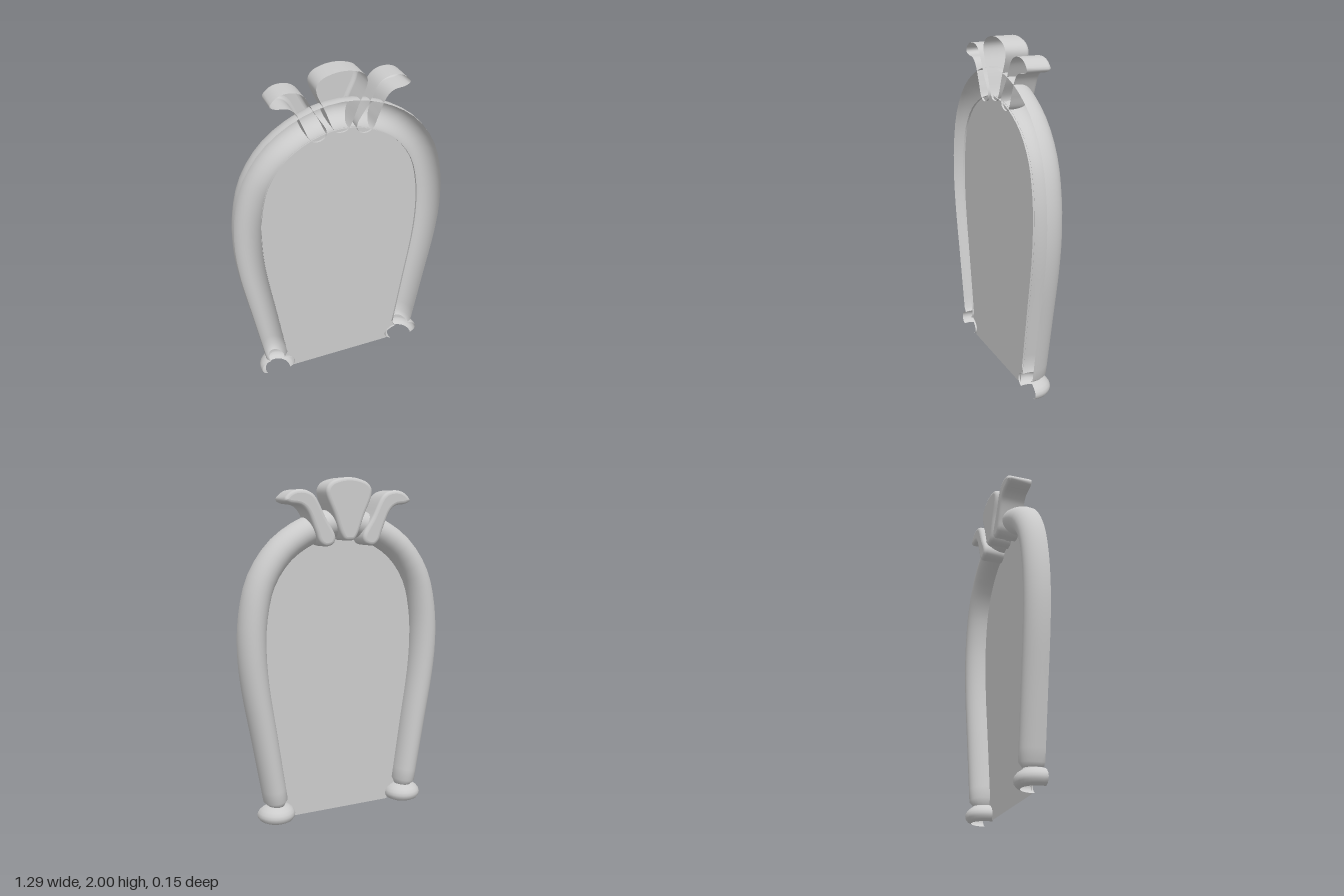
import * as THREE from 'three';

const FRONT = 0.073; // plane where the hollow shells are cut open
const AXIS_Z = 0.05; // depth of the tube axis
const material = new THREE.MeshStandardMaterial({ color: 0xcccccc, side: THREE.DoubleSide });

function addMesh(group, name, geometry) {
  const mesh = new THREE.Mesh(geometry, material);
  mesh.name = name;
  group.add(mesh);
}

// Skin a list of rings that all have the same number of [x, y, z] points
function skin(rings, closed = false) {
  const m = rings[0].length;
  const index = [];
  for (let i = 0; i < rings.length - 1; i++) {
    for (let j = 0; j < (closed ? m : m - 1); j++) {
      const k = (j + 1) % m;
      const a = i * m + j, b = a + m, c = i * m + k, d = c + m;
      index.push(a, b, c, b, d, c);
    }
  }
  const g = new THREE.BufferGeometry();
  g.setAttribute('position', new THREE.Float32BufferAttribute(rings.flat(2), 3));
  g.setIndex(index);
  g.computeVertexNormals();
  return g;
}

// Open C-shaped section: n is the outward direction in the xy plane
function section(x, y, nx, ny, halfWidth, depth, steps = 18) {
  const over = Math.asin((FRONT - AXIS_Z) / depth);
  const ring = [];
  for (let j = 0; j <= steps; j++) {
    const t = -over + (Math.PI + 2 * over) * j / steps;
    const r = halfWidth * Math.cos(t);
    ring.push([x + nx * r, y + ny * r, AXIS_Z - depth * Math.sin(t)]);
  }
  return ring;
}

// Centre line of the arch, mirrored about x = 0
const half = [[0.435, 0.13], [0.495, 0.5], [0.548, 0.83], [0.563, 1.03], [0.553, 1.22],
  [0.503, 1.42], [0.395, 1.58], [0.265, 1.675], [0.13, 1.73]];
const path = new THREE.CatmullRomCurve3([
  ...half.map(([x, y]) => new THREE.Vector3(-x, y, 0)),
  new THREE.Vector3(0, 1.747, 0),
  ...half.slice().reverse().map(([x, y]) => new THREE.Vector3(x, y, 0)),
]);
const SEGMENTS = 56;
const stations = Array.from({ length: SEGMENTS + 1 }, (_, i) => {
  const p = path.getPointAt(i / SEGMENTS), t = path.getTangentAt(i / SEGMENTS);
  const grow = THREE.MathUtils.clamp((p.y - 0.13) / 0.87, 0, 1);
  return { p, nx: -t.y, ny: t.x, w: 0.07 + 0.012 * grow, d: 0.093 + 0.007 * grow };
});

// Hollow arch with chamfered lower ends
function archGeometry() {
  const rings = stations.map(s => section(s.p.x, s.p.y, s.nx, s.ny, s.w, s.d));
  rings.unshift(section(-0.435, 0.1, -1, 0, 0.05, 0.07));
  rings.push(section(0.435, 0.1, 1, 0, 0.05, 0.07));
  return skin(rings);
}

// Flattened bulb at the foot of each side
function footGeometry(side) {
  const profile = [[0.078, 0], [0.098, 0.01], [0.11, 0.026], [0.113, 0.043], [0.108, 0.06],
    [0.095, 0.077], [0.075, 0.091], [0.05, 0.1]];
  return skin(profile.map(([r, y]) => section(side * 0.431, y, -1, 0, r, r + 0.003)));
}

// Flat panel filling the inside of the arch
function panelGeometry() {
  const inner = stations.map(s => new THREE.Vector2(s.p.x - s.nx * s.w * 0.97, s.p.y - s.ny * s.w * 0.97));
  const shape = new THREE.Shape([
    new THREE.Vector2(-0.33, 0), new THREE.Vector2(-0.335, 0.07), new THREE.Vector2(-0.385, 0.1),
    ...inner,
    new THREE.Vector2(0.385, 0.1), new THREE.Vector2(0.335, 0.07), new THREE.Vector2(0.33, 0),
  ]);
  return new THREE.ShapeGeometry(shape).translate(0, 0, 0.062);
}

// Hollow petal: straight wall, rounded rear edge and a flat back
function addPetal(group, name, outline) {
  const curve = new THREE.CatmullRomCurve3(outline.map(([x, y]) => new THREE.Vector3(x, y, 0)), true);
  const pts = curve.getSpacedPoints(64).slice(0, -1);
  const inset = d => pts.map((p, i) => {
    const a = pts.at(i - 1), b = pts[(i + 1) % pts.length];
    const len = Math.hypot(b.x - a.x, b.y - a.y);
    return [p.x - d * (b.y - a.y) / len, p.y + d * (b.x - a.x) / len];
  });
  const ringAt = (d, z) => inset(d).map(([x, y]) => [x, y, z]);
  const r = 0.02;
  const rings = [ringAt(0, FRONT)];
  for (let k = 0; k <= 4; k++) {
    const t = k / 4 * Math.PI / 2;
    rings.push(ringAt(r * (1 - Math.cos(t)), -FRONT + r - r * Math.sin(t)));
  }
  const petal = new THREE.Group();
  petal.name = name;
  addMesh(petal, name + 'Wall', skin(rings, true));
  const back = new THREE.ShapeGeometry(new THREE.Shape(inset(r).map(([x, y]) => new THREE.Vector2(x, y))));
  back.rotateY(Math.PI).scale(-1, 1, 1); // keep the outline, set the depth
  addMesh(petal, name + 'Back', back.translate(0, 0, -FRONT));
  group.add(petal);
}

export function createModel() {
  const model = new THREE.Group();
  model.name = 'archedFrame';

  addMesh(model, 'arch', archGeometry());
  addMesh(model, 'panel', panelGeometry());
  addMesh(model, 'leftFoot', footGeometry(1));
  addMesh(model, 'rightFoot', footGeometry(-1));

  // Crest of three petals
  const fan = [[0.03, 1.65], [0.052, 1.68], [0.095, 1.79], [0.14, 1.895], [0.143, 1.935],
    [0.118, 1.97], [0.06, 1.993]];
  const mirror = pts => pts.map(([x, y]) => [-x, y]).reverse();
  addPetal(model, 'centrePetal', [[0, 1.645], ...fan, [0, 2], ...mirror(fan)]);

  const sidePetal = [[0.15, 1.615], [0.185, 1.637], [0.212, 1.7], [0.262, 1.81], [0.3, 1.842],
    [0.37, 1.854], [0.398, 1.872], [0.365, 1.912], [0.32, 1.929], [0.26, 1.925], [0.215, 1.898],
    [0.15, 1.78], [0.088, 1.67], [0.1, 1.63]];
  addPetal(model, 'leftPetal', sidePetal);
  addPetal(model, 'rightPetal', mirror(sidePetal));

  return model;
}
